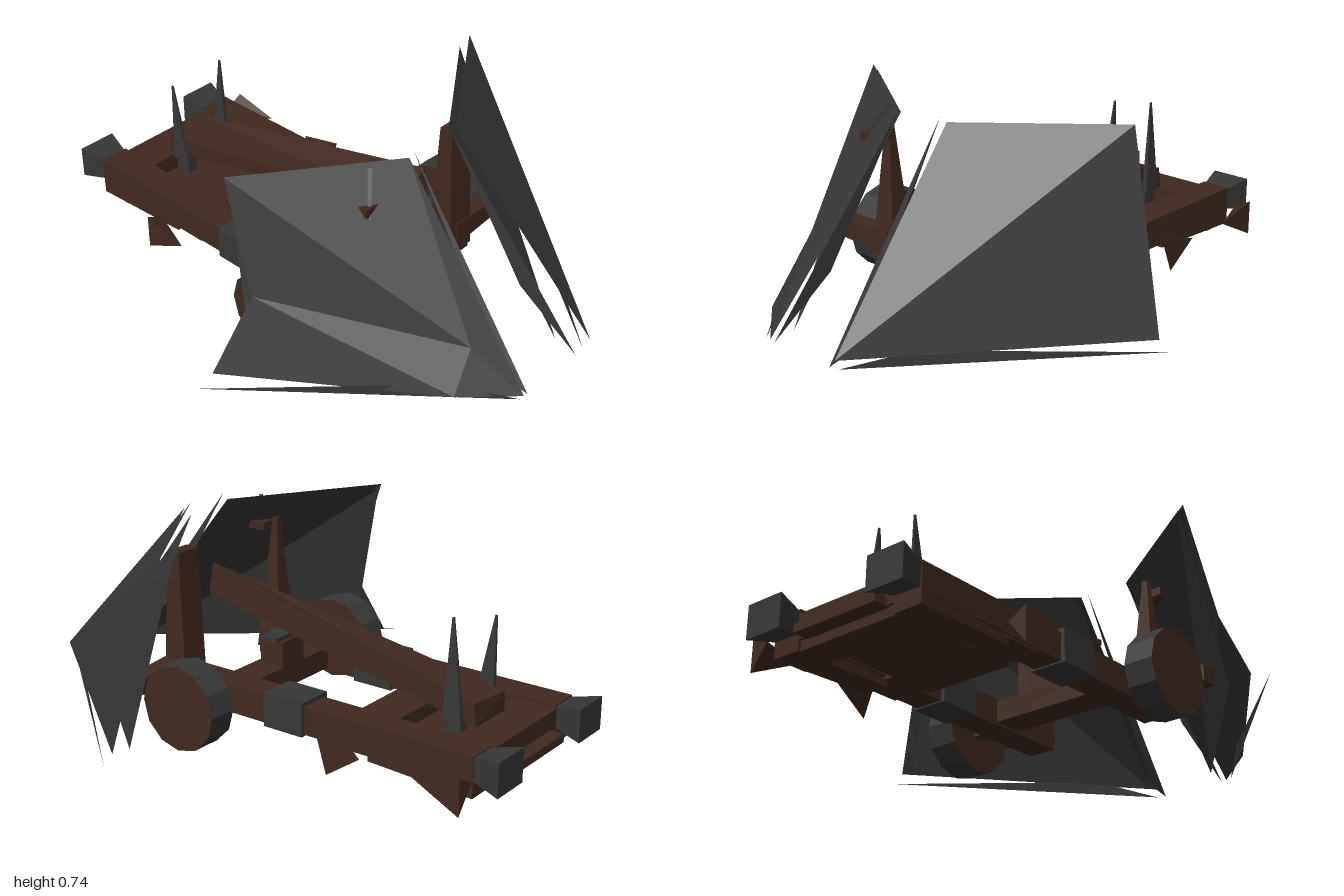
import * as THREE from 'three';

const mat = (name, color) => {
  const m = new THREE.MeshStandardMaterial({ color, flatShading: true, side: THREE.DoubleSide });
  m.name = name;
  return m;
};

export function createModel() {
  const model = new THREE.Group();
  const wood = mat('dark wood', 0x402920);
  const iron = mat('dark iron', 0x373737);

  const add = (name, geo, material) => {
    const mesh = new THREE.Mesh(geo, material);
    mesh.name = name;
    model.add(mesh);
    return mesh;
  };

  const box = (name, material, w, h, d, x, y, z) => {
    const mesh = add(name, new THREE.BoxGeometry(w, h, d), material);
    mesh.position.set(x, y, z);
    return mesh;
  };

  // Tapered bar from a to b, with its own width and height at each end
  const bar = (name, material, a, b, [wa, ha], [wb, hb]) => {
    const from = new THREE.Vector3(...a), to = new THREE.Vector3(...b);
    const geo = new THREE.BoxGeometry(1, 1, from.distanceTo(to));
    const p = geo.attributes.position;
    for (let i = 0; i < p.count; i++) {
      const end = p.getZ(i) > 0;
      p.setX(i, p.getX(i) * (end ? wb : wa));
      p.setY(i, p.getY(i) * (end ? hb : ha));
    }
    geo.computeVertexNormals();
    const mesh = add(name, geo, material);
    mesh.position.copy(from).lerp(to, 0.5);
    mesh.lookAt(to);
    return mesh;
  };

  // Flat facets from corner points and triangle indices
  const facets = (name, material, points, index) => {
    const geo = new THREE.BufferGeometry();
    geo.setAttribute('position', new THREE.Float32BufferAttribute(points.flat(), 3));
    geo.setIndex(index);
    const flat = geo.toNonIndexed();
    flat.computeVertexNormals();
    return add(name, flat, material);
  };

  // Frame
  box('rearCrossbeam', wood, 0.44, 0.09, 0.15, 0, 0.145, -0.825);
  box('rearSkid', wood, 0.62, 0.05, 0.12, 0, 0.088, -0.83);
  box('middleCrossbeam', wood, 0.62, 0.08, 0.15, 0, 0.135, -0.44);
  box('frontCrossbeam', wood, 0.42, 0.08, 0.12, 0, 0.155, 0.1);
  box('floorPlate', wood, 0.35, 0.03, 0.61, 0, 0.11, -0.645);
  box('centreBlock', wood, 0.12, 0.1, 0.1, 0, 0.24, 0.09);
  box('centreCap', iron, 0.16, 0.015, 0.07, 0, 0.298, 0.09);
  bar('axle', iron, [-0.42, 0.155, 0.15], [0.42, 0.155, 0.15], [0.05, 0.05], [0.05, 0.05]);

  for (const s of [-1, 1]) {
    box('sideRail', wood, 0.11, 0.1, 1.26, s * 0.26, 0.155, -0.27);
    bar('railUnderside', wood, [s * 0.26, 0.09, -0.9], [s * 0.26, 0.1, -0.5], [0.11, 0.055], [0.09, 0.05]);
    box('railBand', iron, 0.14, 0.12, 0.16, s * 0.26, 0.16, -0.17);
    bar('railTip', iron, [s * 0.26, 0.16, -0.9], [s * 0.26, 0.16, -1], [0.1, 0.08], [0.15, 0.12]);

    // Wheel: iron tread, wooden faces
    const wheel = new THREE.CylinderGeometry(0.153, 0.153, 0.11, 12);
    wheel.rotateZ(Math.PI / 2);
    add('wheel', wheel, [iron, wood, wood]).position.set(s * 0.44, 0.155, 0.15);

    // Post and brace holding up the shield
    bar('shieldPost', wood, [s * 0.26, 0.13, 0.32], [s * 0.26, 0.63, 0.32],
      [0.11, 0.1], s > 0 ? [0.1, 0.05] : [0.02, 0.02]);
    bar('shieldBrace', wood, [s * 0.24, 0.2, 0.33], [s * 0.5, 0.2, 0.33], [0.08, 0.09], [0.06, 0.06]);

    // Thin upright spikes beside the arm
    box('spikeBracket', iron, 0.04, 0.1, 0.06, s * 0.08, 0.2, -0.69);
    bar('rearSpike', iron, [s * 0.1, 0.2, -0.69], [s * 0.1, s > 0 ? 0.55 : 0.51, s > 0 ? -0.68 : -0.72],
      [0.02, 0.07], [0.004, 0.008]);
  }

  // Throwing arm, twisted to a sharp edge at its raised end
  facets('arm', wood, [
    [-0.04, 0.47, 0.34], [0.09, 0.54, 0.33], [0.09, 0.42, 0.35], [-0.04, 0.45, 0.34],
    [-0.09, 0.26, -0.77], [0.09, 0.27, -0.76], [0.09, 0.19, -0.77], [-0.09, 0.19, -0.77],
  ], [0, 3, 2, 0, 2, 1, 4, 5, 6, 4, 6, 7, 0, 1, 5, 0, 5, 4,
    3, 7, 6, 3, 6, 2, 1, 2, 6, 1, 6, 5, 0, 4, 7, 0, 7, 3]);

  // Side splinters
  for (const [s, z] of [[1, -0.91], [1, -0.37], [-1, -0.54]]) {
    const tip = z === -0.37 ? -0.54 : z + 0.18;
    const mid = z === -0.37 ? -0.45 : z;
    facets('sideSplinter', wood, [
      [s * 0.34, 0.13, mid], [s * 0.41, 0.17, z], [s * 0.41, 0.04, (z + mid) / 2], [s * 0.41, 0.13, tip],
    ], [0, 1, 2, 0, 2, 3, 0, 3, 1, 1, 3, 2]);
  }

  // Left shield: two facets folded on the diagonal
  facets('leftShield', iron, [
    [0.12, 0.73, 0.43], [0.61, 0.745, 0.09], [0.79, 0.09, 0.17], [0.18, 0.115, 0.99],
  ], [0, 3, 1, 1, 3, 2]);

  // Right shield: dented along its lower edge
  facets('rightShield', iron, [
    [-0.1, 0.715, 0.42], [-0.59, 0.725, 0.08], [-0.62, 0.345, 0.22], [-0.76, 0.08, 0.17],
    [-0.32, 0.09, 0.82], [-0.22, 0.22, 0.8], [-0.15, 0.075, 0.97],
  ], [0, 1, 5, 1, 2, 5, 2, 4, 5, 2, 3, 4, 5, 4, 6, 0, 5, 6]);

  // Bent strips along the shield edges, and backing plates
  for (const s of [-1, 1]) {
    facets('shieldEdgeStrip', iron, [
      [s * 0.09, 0.74, 0.43], [s * 0.13, 0.07, 0.97], [s * 0.11, 0.25, 0.74], [s * 0.15, 0.1, 0.9],
    ], [0, 2, 1, 0, 1, 3]);
    facets('shieldBottomStrip', iron, [
      [s * 0.17, 0.075, 0.97], [s * 0.83, 0.06, 0.17], [s * 0.32, 0.12, 0.78],
    ], [0, 1, 2]);
    facets('shieldBacking', iron, [
      [s * 0.12, 0.71, 0.4], [s * 0.57, 0.71, 0.08], [s > 0 ? 0.72 : -0.64, 0.085, s > 0 ? 0.16 : 0.23],
      [s * 0.14, 0.08, 0.88],
    ], [0, 1, 3, 1, 2, 3]);
  }

  // Broken fitting poking through the right shield
  bar('fittingSpike', iron, [-0.22, 0.71, 0.36], [-0.31, 0.52, 0.44], [0.015, 0.02], [0.01, 0.01]);
  box('fittingPeg', wood, 0.08, 0.03, 0.07, -0.26, 0.595, 0.385);

  return model;
}
